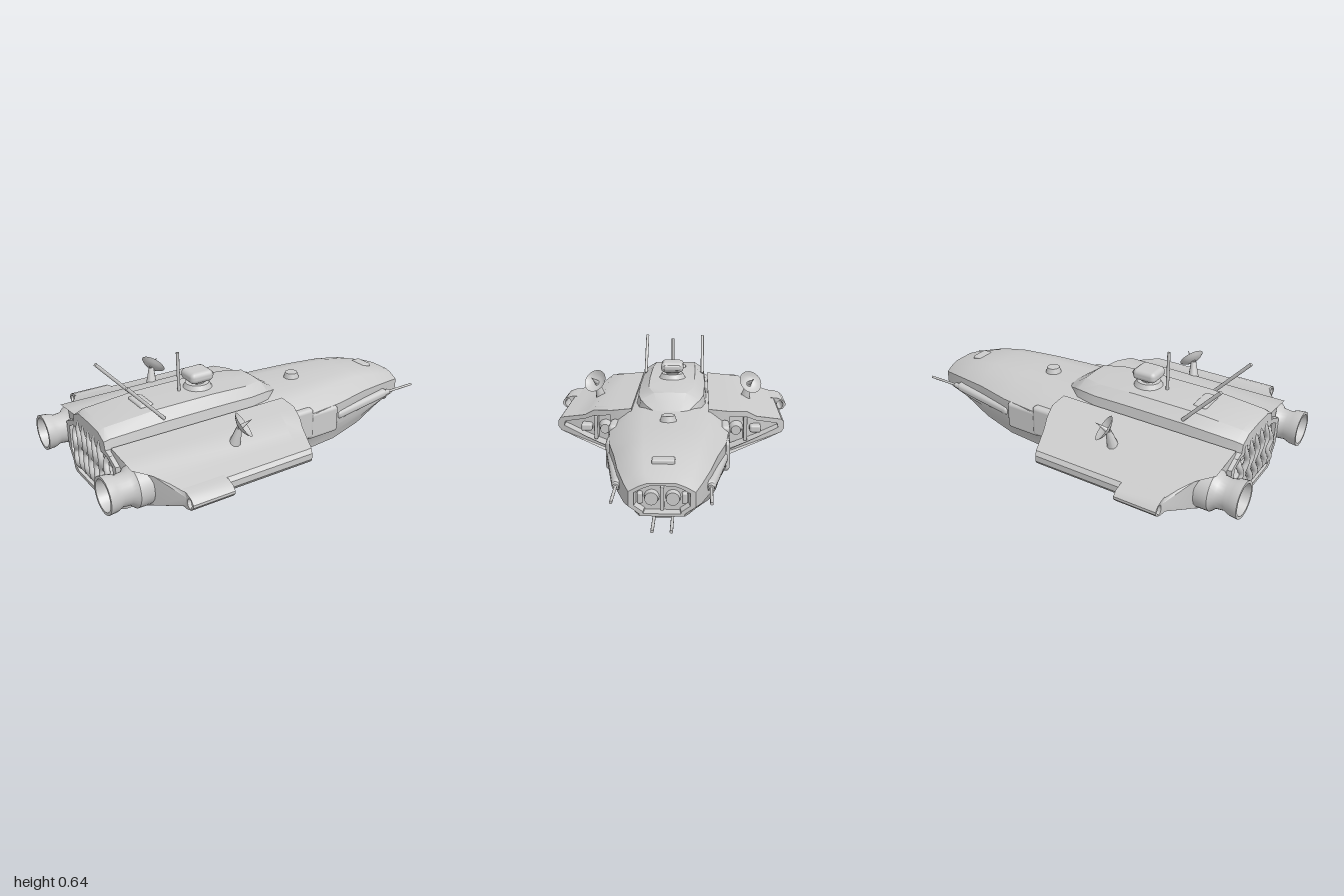
import * as THREE from 'three';
import { toCreasedNormals } from 'three/addons/utils/BufferGeometryUtils.js';
import { RoundedBoxGeometry } from 'three/addons/geometries/RoundedBoxGeometry.js';

const material = new THREE.MeshStandardMaterial({ color: 0xcccccc, side: THREE.DoubleSide });

// Skin closed rings along x; each section is { x, pts: half outline [z, y] from top to bottom }
function loft(sections, crease = 0.6) {
  const pos = [], index = [];
  const n = (sections[0].pts.length - 1) * 2;
  for (const { x, pts } of sections) {
    const mirrored = pts.slice(1, -1).reverse().map(([z, y]) => [-z, y]);
    for (const [z, y] of [...pts, ...mirrored]) pos.push(x, y, z);
  }
  for (let i = 0; i < sections.length - 1; i++) {
    for (let j = 0; j < n; j++) {
      const a = i * n + j, b = i * n + (j + 1) % n;
      index.push(a, b, a + n, b, b + n, a + n);
    }
  }
  const last = (sections.length - 1) * n;
  for (let j = 1; j < n - 1; j++) {
    index.push(0, j + 1, j, last, last + j, last + j + 1);
  }
  const geo = new THREE.BufferGeometry();
  geo.setAttribute('position', new THREE.Float32BufferAttribute(pos, 3));
  geo.setIndex(index);
  return toCreasedNormals(geo, crease);
}

// Shrink a section about its middle, for recessed ends
function inset({ pts }, x, k) {
  const mid = (pts[0][1] + pts[pts.length - 1][1]) / 2;
  return { x, pts: pts.map(([z, y]) => [z * k, mid + (y - mid) * k]) };
}

// Mirror a geometry across z = 0 and keep its faces outward
function mirrorZ(source) {
  const geo = source.index ? source.toNonIndexed() : source.clone();
  for (const name of ['position', 'normal']) {
    const a = geo.attributes[name];
    for (let i = 0; i < a.count; i += 3) {
      const v = [0, 2, 1].map(k => [a.getX(i + k), a.getY(i + k), -a.getZ(i + k)]);
      v.forEach((p, k) => a.setXYZ(i + k, ...p));
    }
  }
  return geo;
}

function box(x0, x1, y0, y1, z0, z1, r = 0.012) {
  return new RoundedBoxGeometry(x1 - x0, y1 - y0, z1 - z0, 2, r)
    .translate((x0 + x1) / 2, (y0 + y1) / 2, (z0 + z1) / 2);
}

function rod(from, to, r0, r1 = r0, sides = 10) {
  const a = new THREE.Vector3(...from), b = new THREE.Vector3(...to);
  const dir = b.clone().sub(a), len = dir.length();
  const q = new THREE.Quaternion().setFromUnitVectors(new THREE.Vector3(0, 1, 0), dir.normalize());
  return new THREE.CylinderGeometry(r1, r0, len, sides).translate(0, len / 2, 0)
    .applyQuaternion(q).translate(...from);
}

function outline(points, Type = THREE.Shape) {
  return new Type(points.map(p => new THREE.Vector2(...p)));
}

export function createModel() {
  const model = new THREE.Group();
  model.name = 'spaceship';
  const add = (name, geo) => {
    const mesh = new THREE.Mesh(geo, material);
    mesh.name = name;
    model.add(mesh);
  };
  const pair = (name, geo) => { add(name + 'A', geo); add(name + 'B', mirrorZ(geo)); };

  // Main hull: x, top, top half width, half width, upper and lower side edge, keel half width, bottom
  const hull = [
    [-0.9, 0.35, 0.2, 0.28, 0.3, 0.16, 0.24, 0.045],
    [-0.85, 0.355, 0.2, 0.29, 0.3, 0.16, 0.25, 0.032],
    [0.05, 0.355, 0.21, 0.29, 0.28, 0.16, 0.25, 0.03],
    [0.2, 0.35, 0.21, 0.3, 0.27, 0.15, 0.255, 0.02],
    [0.4, 0.35, 0.19, 0.28, 0.27, 0.15, 0.25, 0.03],
    [0.6, 0.345, 0.165, 0.235, 0.27, 0.15, 0.215, 0.055],
    [0.75, 0.322, 0.15, 0.205, 0.26, 0.155, 0.17, 0.083],
    [0.88, 0.285, 0.125, 0.165, 0.24, 0.155, 0.13, 0.105],
    [0.94, 0.262, 0.1, 0.14, 0.225, 0.16, 0.11, 0.118],
  ].map(([x, top, wt, w, yu, yl, wb, bot]) => ({ x, pts: [
    [0, top], [wt * 0.6, top], [wt, top - 0.015], [w, yu], [w, yl],
    [wb, (bot + yl) / 2], [wb - 0.015, bot + 0.01], [wb * 0.85, bot], [0, bot]] }));
  const tail = hull[0], nose = hull[hull.length - 1];
  add('hull', loft([inset(tail, -0.85, 0.88), inset(tail, -0.9, 0.88), ...hull,
    inset(nose, 0.94, 0.84), inset(nose, 0.9, 0.78)]));

  // Raised spine on the rear hull, sloping down to the bow
  add('superstructure', loft([
    [-0.9, 0.41, 0.11, 0.18], [-0.87, 0.425, 0.12, 0.185], [-0.6, 0.445, 0.125, 0.19],
    [-0.3, 0.445, 0.125, 0.19], [-0.1, 0.435, 0.12, 0.185], [0.01, 0.428, 0.085, 0.165],
    [0.06, 0.39, 0.07, 0.13], [0.12, 0.352, 0.04, 0.08],
  ].map(([x, top, wt, wb]) => ({ x, pts: [
    [0, top], [wt, top - 0.003], [wb - 0.01, top - (top - 0.34) * 0.45], [wb, 0.34], [0, 0.33]] })), 0.5));
  add('spineHatch', box(-0.66, -0.59, 0.42, 0.452, -0.07, 0.07));

  // Wings: extruded section, swept at both ends, with a hollow intake at the front
  const section = [[0.2, 0.355], [0.3, 0.345], [0.4, 0.335], [0.45, 0.305], [0.52, 0.29], [0.59, 0.275],
    [0.605, 0.255], [0.605, 0.225], [0.59, 0.205], [0.52, 0.18], [0.44, 0.155], [0.3, 0.11], [0.2, 0.09]];
  const intake = [[0.31, 0.318], [0.4, 0.305], [0.45, 0.283], [0.565, 0.256], [0.572, 0.232],
    [0.44, 0.183], [0.31, 0.145]];
  const front = z => 0.07 - Math.max(0, z - 0.3) * 0.4;
  const back = z => z < 0.43 ? -0.88 : z < 0.47 ? -0.8 : z < 0.55 ? -0.76 : -0.73;
  const wingPart = (shape, t0, t1) => {
    const geo = new THREE.ExtrudeGeometry(shape, { depth: t1 - t0, bevelEnabled: false });
    const p = geo.attributes.position;
    for (let i = 0; i < p.count; i++) {
      const z = p.getX(i), t = p.getZ(i) + t0;
      p.setXYZ(i, THREE.MathUtils.lerp(back(z), front(z), t), p.getY(i), -z);
    }
    return toCreasedNormals(geo, 0.6);
  };
  pair('wing', wingPart(outline(section), 0, 0.9));
  const frame = outline(section);
  frame.holes.push(outline(intake, THREE.Path));
  pair('intakeFrame', wingPart(frame, 0.9, 1));
  pair('intakeDivider', box(-0.08, 0.01, 0.17, 0.3, 0.385, 0.405, 0.006));
  pair('intakeBlock', box(-0.1, -0.02, 0.205, 0.245, 0.42, 0.48));
  pair('intakeTurbine', rod([-0.05, 0.23, 0.345], [0.02, 0.23, 0.345], 0.04, 0.025, 16));

  // Wingtip pods, open from end to end
  const pod = outline([[0.56, 0.28], [0.61, 0.277], [0.645, 0.265], [0.663, 0.245], [0.663, 0.232],
    [0.645, 0.212], [0.61, 0.2], [0.56, 0.197]]);
  pod.holes.push(new THREE.Path().absellipse(0.63, 0.238, 0.018, 0.024, 0, Math.PI * 2, true));
  const podGeo = new THREE.ExtrudeGeometry(pod, { depth: 0.21, bevelEnabled: false, curveSegments: 8 });
  pair('wingtipPod', toCreasedNormals(podGeo.rotateY(Math.PI / 2).translate(-0.73, 0, 0), 0.7));

  // Engine nozzles
  const nozzle = [[0.1, 0.8], [0.1, 0.865], [0.078, 0.89], [0.074, 0.93], [0.086, 0.96], [0.09, 1],
    [0.076, 1], [0.066, 0.95], [0.055, 0.9], [0, 0.89]].map(p => new THREE.Vector2(...p));
  pair('engineNozzle', toCreasedNormals(new THREE.LatheGeometry(nozzle, 28)
    .rotateZ(Math.PI / 2).translate(0, 0.23, 0.355), 0.7));

  // Winding pipes and cross ribs over the stern
  for (let i = 0; i < 7; i++) {
    const z = (i - 3) * 0.06, reach = Math.abs(z) > 0.15 ? 0.33 : 0.4;
    const path = [0, 1, 2, 3, 4, 5].map(k => new THREE.Vector3(
      k % 5 ? -0.895 - 0.008 * (k % 2) : -0.87, 0.07 + (reach - 0.07) * k / 5, z + (k % 2 ? 0.011 : -0.011)));
    add('sternPipe', new THREE.TubeGeometry(new THREE.CatmullRomCurve3(path), 24, 0.015, 8));
  }
  for (const y of [0.12, 0.22, 0.32]) add('sternRib', box(-0.9, -0.86, y - 0.012, y + 0.012, -0.22, 0.22, 0.008));

  // Dish antennas on the wings
  const aim = new THREE.Vector3(0.72, 0.58, 0.38).normalize();
  const turn = new THREE.Quaternion().setFromUnitVectors(new THREE.Vector3(0, 1, 0), aim);
  const bowl = [[0, 0], [0.03, 0.004], [0.05, 0.013], [0.067, 0.026]].map(p => new THREE.Vector2(...p));
  const centre = [-0.345, 0.4, 0.43];
  pair('dish', new THREE.LatheGeometry(bowl, 24).applyQuaternion(turn).translate(...centre));
  pair('dishFeed', new THREE.ConeGeometry(0.014, 0.075, 10).translate(0, 0.035, 0)
    .applyQuaternion(turn).translate(...centre));
  pair('dishPost', rod([-0.36, 0.31, 0.41], centre, 0.03, 0.014));

  // Masts and the spine turret
  pair('slantedMast', rod([-0.59, 0.41, 0.168], [-0.77, 0.608, 0.168], 0.009));
  add('centreMast', rod([-0.415, 0.43, 0], [-0.415, 0.645, 0], 0.008));
  add('turretBase', rod([-0.31, 0.43, 0], [-0.31, 0.468, 0], 0.08, 0.06, 20));
  add('turretNeck', rod([-0.31, 0.46, 0], [-0.31, 0.49, 0], 0.035, 0.045, 20));
  add('turretHead', box(-0.373, -0.245, 0.478, 0.536, -0.062, 0.062, 0.024));
  add('turretVisor', box(-0.26, -0.238, 0.492, 0.522, -0.045, 0.045, 0.01));

  // Armour blocks and sponsons along the flanks
  pair('flankBlock', box(0.06, 0.2, 0.13, 0.3, 0.26, 0.308, 0.02));
  pair('flankPlate', box(0.17, 0.37, 0.12, 0.27, 0.25, 0.302, 0.02));
  const sponson = box(0.38, 0.8, 0.175, 0.225, -0.03, 0.03, 0.022);
  const sp = sponson.attributes.position;
  for (let i = 0; i < sp.count; i++) {
    sp.setZ(i, sp.getZ(i) + 0.265 - (sp.getX(i) - 0.38) * 0.17);
  }
  pair('sponson', sponson);
  pair('sideGunMount', rod([0.68, 0.2, 0.21], [0.82, 0.2, 0.205], 0.026, 0.014, 14));
  pair('sideGun', rod([0.75, 0.2, 0.205], [1, 0.2, 0.205], 0.007));

  // Chin turret with twin guns
  add('chinTurret', box(0.66, 0.78, 0.04, 0.11, -0.055, 0.055, 0.02));
  pair('chinGun', rod([0.72, 0.062, 0.04], [0.97, 0.062, 0.04], 0.007));
  pair('keelBlock', box(0.11, 0.23, 0.002, 0.05, 0.07, 0.15, 0.015));
  pair('keelPad', box(0.28, 0.37, 0.015, 0.06, 0.12, 0.21, 0.015));

  // Deck fittings on the bow
  add('deckDome', rod([0.28, 0.34, 0], [0.28, 0.378, 0], 0.045, 0.033, 20));
  add('deckHatch', box(0.76, 0.815, 0.29, 0.322, -0.05, 0.05, 0.008));

  // Emitters inside the nose recess
  pair('noseEmitter', rod([0.89, 0.19, 0.045], [0.93, 0.19, 0.045], 0.034, 0.028, 16));
  pair('noseBlock', box(0.89, 0.925, 0.165, 0.215, 0.082, 0.105, 0.008));
  add('noseDivider', box(0.89, 0.935, 0.14, 0.24, -0.008, 0.008, 0.005));
  return model;
}
